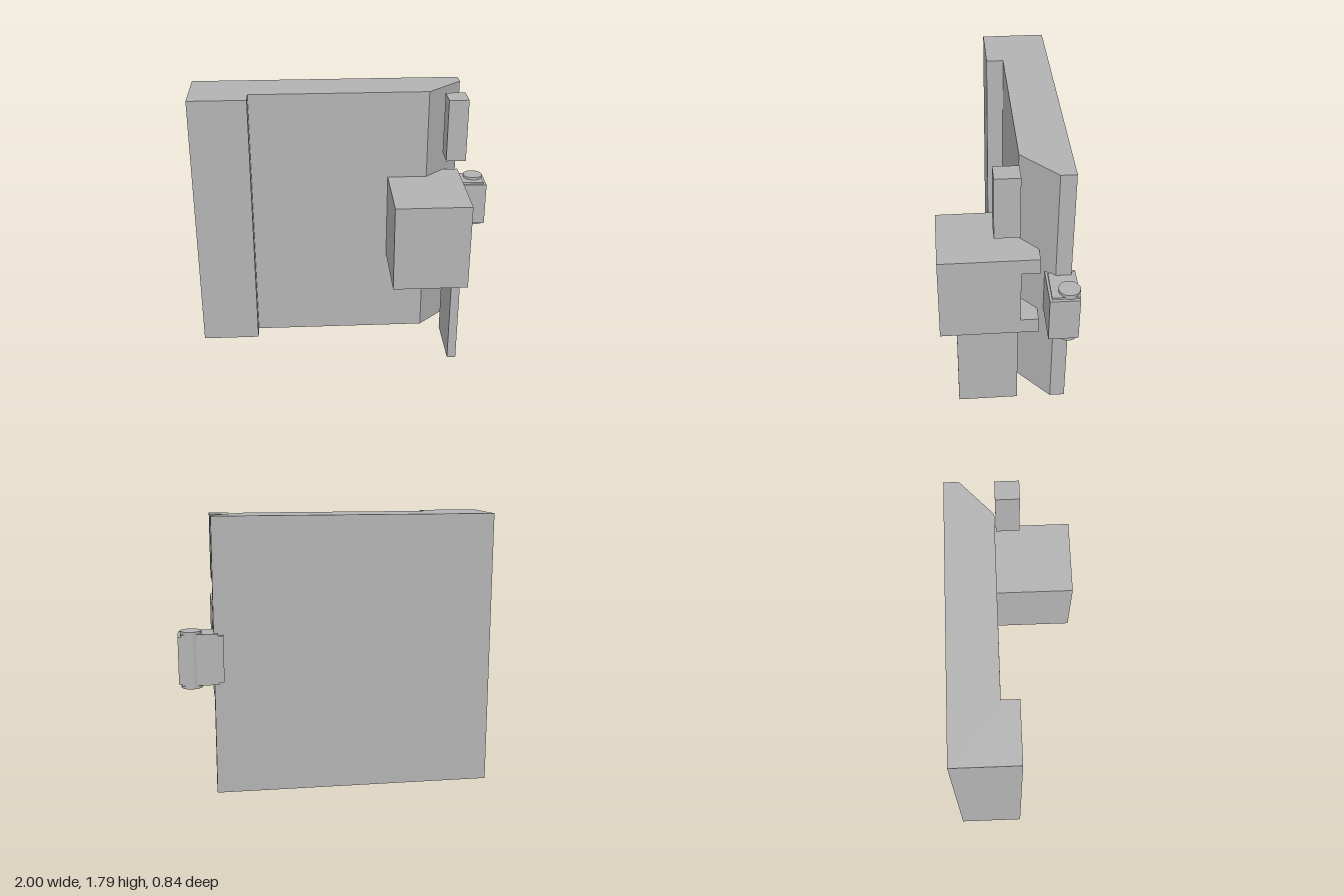
import * as THREE from 'three';

export function createModel() {
  const group = new THREE.Group();
  const grey = new THREE.MeshStandardMaterial({ color: 0xb4b4b4 });
  grey.name = 'grey';

  const add = (name, geometry) => {
    const mesh = new THREE.Mesh(geometry, grey);
    mesh.name = name;
    group.add(mesh);
    return mesh;
  };

  // Plan outline of [x, z] points raised from y0 to y1
  const prism = (name, plan, y0, y1) => {
    const shape = new THREE.Shape(plan.map(([x, z]) => new THREE.Vector2(x, -z)));
    const geometry = new THREE.ExtrudeGeometry(shape, { depth: y1 - y0, bevelEnabled: false });
    geometry.rotateX(-Math.PI / 2).translate(0, y0, 0);
    return add(name, geometry);
  };

  const box = (name, x0, x1, y0, y1, z0, z1) =>
    add(name, new THREE.BoxGeometry(x1 - x0, y1 - y0, z1 - z0)
      .translate((x0 + x1) / 2, (y0 + y1) / 2, (z0 + z1) / 2));

  // Door slab with a thick left stile and a chamfered free edge
  prism('doorPanel', [
    [-1, 0.03], [-0.62, 0.03], [-0.62, -0.08], [0.55, -0.08],
    [0.78, -0.29], [0.78, -0.385], [-1, -0.385],
  ], 0.03, 1.793);

  // Lock housing, with two jaws reaching back to the chamfer
  box('housing', 0.29, 0.78, 0.62, 1.2, -0.085, 0.418);
  const jaw = [[0.55, -0.08], [0.78, -0.08], [0.78, -0.198], [0.678, -0.198]];
  prism('lowerJaw', jaw, 0.62, 0.725);
  prism('upperJaw', jaw, 1.095, 1.2);

  // Loose post above and flat bar below the housing
  box('upperPost', 0.652, 0.78, 1.373, 1.785, -0.073, 0.08);
  box('lowerBar', 0.69, 0.748, 0, 0.62, -0.073, 0.312);

  // Hinge: knuckle, inner plate and pin
  box('hingeKnuckle', 0.72, 1, 0.763, 1.06, -0.412, -0.23);
  box('hingePlate', 0.753, 0.98, 0.75, 1.073, -0.412, -0.245);
  add('hingePin', new THREE.CylinderGeometry(0.066, 0.066, 0.36, 32).translate(0.92, 0.91, -0.354));

  return group;
}
